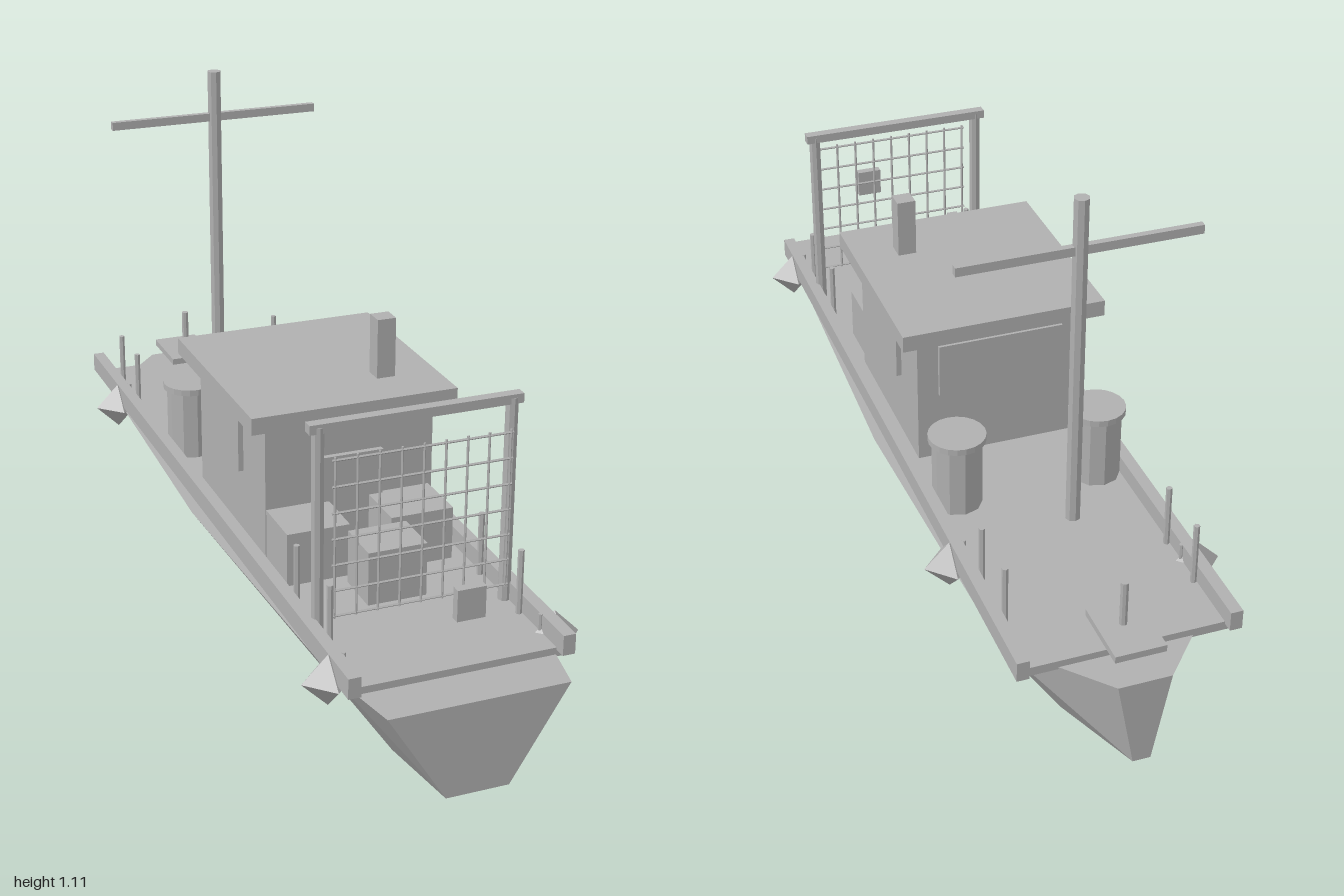
import * as THREE from 'three';

export function createModel() {
  const boat = new THREE.Group();
  boat.name = 'fishingBoat';
  const grey = new THREE.MeshStandardMaterial({ color: 0xb0b0b0, flatShading: true });
  grey.name = 'plainGrey';

  const add = (name, geometry, x = 0, y = 0, z = 0) => {
    const mesh = new THREE.Mesh(geometry, grey);
    mesh.name = name;
    mesh.position.set(x, y, z);
    boat.add(mesh);
    return mesh;
  };
  // Box given by its limits on each axis
  const box = (name, x0, x1, y0, y1, z0, z1) =>
    add(name, new THREE.BoxGeometry(x1 - x0, y1 - y0, z1 - z0),
      (x0 + x1) / 2, (y0 + y1) / 2, (z0 + z1) / 2);
  // Upright cylinder from y0 to y1
  const post = (name, x, z, r, y0, y1, sides = 6) =>
    add(name, new THREE.CylinderGeometry(r, r, y1 - y0, sides), x, (y0 + y1) / 2, z);

  // Hull: cross-sections [z, half width at top, half width at keel]
  const sections = [[1, 0.2, 0.07], [0.8, 0.24, 0.1], [0, 0.27, 0.11], [-0.8, 0.24, 0.1], [-1, 0.06, 0.02]];
  const rings = sections.map(([z, t, b]) => [[t, 0.21, z], [b, 0, z], [-b, 0, z], [-t, 0.21, z]]);
  const points = [];
  const tri = (...corners) => corners.forEach((c) => points.push(...c));
  for (let i = 0; i < rings.length - 1; i++) {
    for (let j = 0; j < 4; j++) {
      const k = (j + 1) % 4, a = rings[i], c = rings[i + 1];
      tri(a[j], a[k], c[k]);
      tri(a[j], c[k], c[j]);
    }
  }
  const bow = rings[0], stern = rings[rings.length - 1];
  tri(bow[0], bow[3], bow[2]);
  tri(bow[0], bow[2], bow[1]);
  tri(stern[0], stern[2], stern[3]);
  tri(stern[0], stern[1], stern[2]);
  const hull = new THREE.BufferGeometry();
  hull.setAttribute('position', new THREE.Float32BufferAttribute(points, 3));
  hull.computeVertexNormals();
  add('hull', hull);

  // Deck and stern platform
  box('deck', -0.235, 0.235, 0.205, 0.226, -0.9, 0.893);
  box('sternPlatform', -0.058, 0.056, 0.25, 0.266, -0.97, -0.81);
  post('sternPost', 0, -0.877, 0.009, 0.265, 0.373, 8);

  // Cabin
  box('cabin', -0.2, 0.2, 0.225, 0.55, -0.13, 0.315);
  box('cabinRoof', -0.243, 0.243, 0.548, 0.587, -0.165, 0.35);
  box('chimney', 0.097, 0.141, 0.587, 0.727, 0.192, 0.236);
  box('cabinDoor', -0.077, 0.075, 0.225, 0.457, 0.315, 0.328);
  box('rearWindow', -0.15, 0.15, 0.395, 0.527, -0.14, -0.13);

  // Crates on the foredeck
  box('frontCrate', -0.07, 0.066, 0.225, 0.35, 0.478, 0.592);
  box('rightCrate', -0.2, -0.054, 0.225, 0.35, 0.32, 0.45);
  box('leftCrate', 0.042, 0.19, 0.225, 0.35, 0.32, 0.455);
  box('bowLamp', -0.032, 0.03, 0.363, 0.432, 0.926, 0.946);

  // Mast and yard
  post('mast', 0, -0.592, 0.017, 0.335, 1.112, 8);
  box('yard', -0.267, 0.265, 0.986, 1.006, -0.6, -0.585);

  // Paired parts on both sides
  for (const s of [-1, 1]) {
    add('gunwale', new THREE.BoxGeometry(0.028, 0.046, 1.845), s * 0.236, 0.244, -0.002);
    add('sideWindow', new THREE.BoxGeometry(0.012, 0.138, 0.176), s * 0.206, 0.45, 0.083);
    post('netPost', s * 0.215, 0.665, 0.014, 0.225, 0.695, 8);
    post('barrel', s * 0.168, -0.315, 0.057, 0.225, 0.397, 10);
    post('barrelLid', s * 0.168, -0.315, 0.066, 0.395, 0.41, 20);
    for (const z of [0.735, 0.547, -0.615, -0.757]) {
      post('railPost', s * 0.215, z, 0.007, 0.225, 0.375);
    }
    // Fenders hung on short ropes
    for (const z of [0.822, s > 0 ? -0.51 : -0.68]) {
      add('fender', new THREE.OctahedronGeometry(0.058), s * 0.253, 0.212, z);
      post('fenderRope', s * 0.22, z, 0.005, 0.21, 0.268);
    }
  }

  // Net hung under its beam
  box('netBeam', -0.237, 0.237, 0.682, 0.703, 0.652, 0.676);
  for (let i = 0; i < 9; i++) {
    post('netUpright', (i - 4) * 0.0485, 0.707, 0.003, 0.28, 0.642, 4);
  }
  for (let i = 0; i < 7; i++) {
    const wire = add('netCrosswire', new THREE.CylinderGeometry(0.003, 0.003, 0.4, 4), 0, 0.285 + i * 0.0583, 0.707);
    wire.rotation.z = Math.PI / 2;
  }
  return boat;
}
